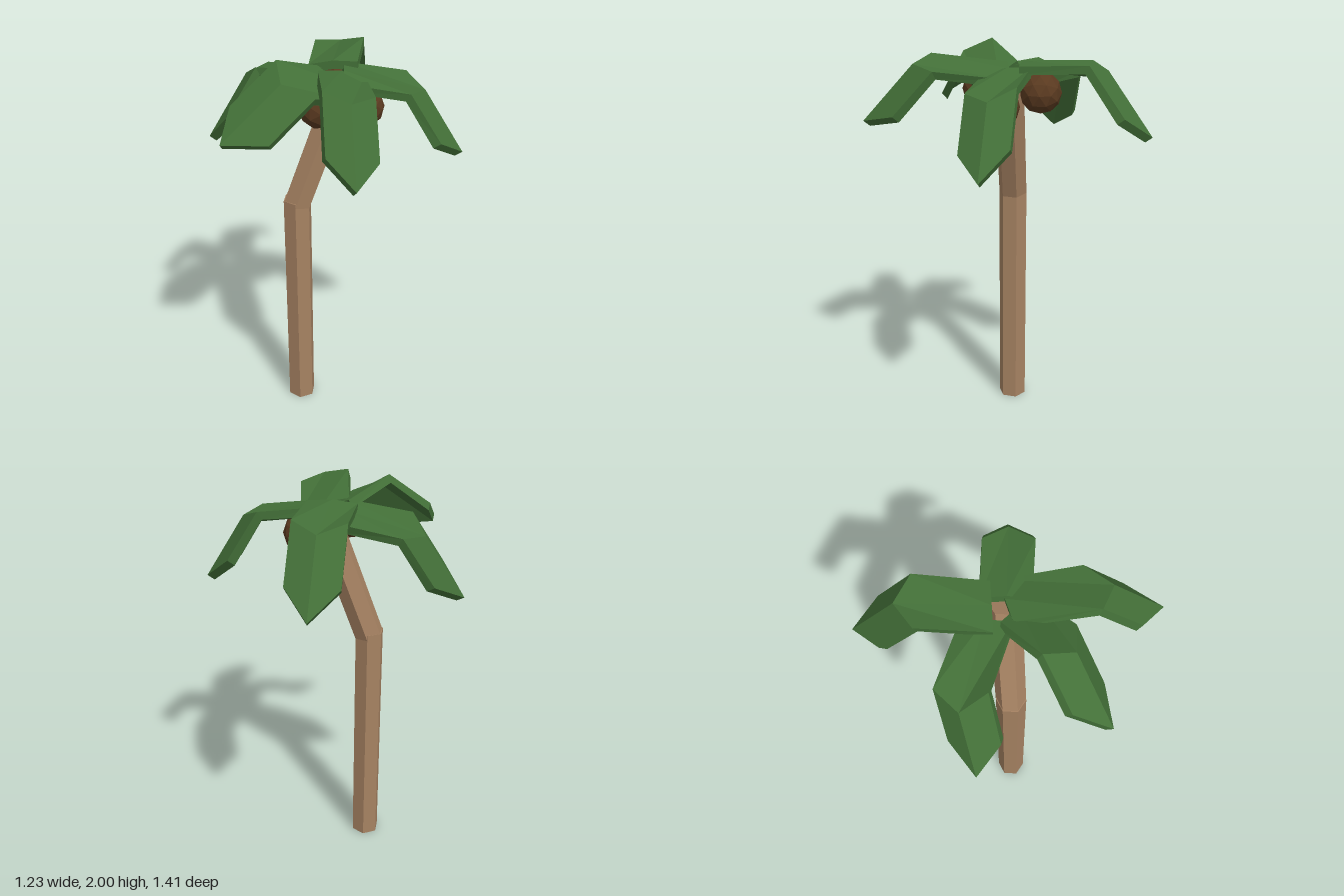
import * as THREE from 'three';

const mat = (name, color) => {
  const m = new THREE.MeshStandardMaterial({ color, flatShading: true });
  m.name = name;
  return m;
};
const V = (a) => new THREE.Vector3(...a);

// Thick bent leaf: flat inner plate, V-shaped crease at the knee, pointed gabled end.
// root: middle of inner end, knee: middle between knee edges, side: half width vector,
// crease: knee point on the midrib, drop: vector from knee edge to shoulder
function frondGeometry({ root, knee, side, crease, drop }) {
  const thickness = 0.042;
  const r = V(root), k = V(knee), m = V(crease), d = V(drop);
  let c = V(side);
  if (d.clone().cross(c).y < 0) c.negate();
  const nIn = k.clone().sub(r).cross(c).normalize();
  const nOut = d.clone().cross(c).normalize();
  const nKnee = nIn.clone().add(nOut).normalize();
  const at = (p, s, q) => p.clone().addScaledVector(c, s).add(q || V([0, 0, 0]));

  // outline anticlockwise from above (0-7), then the crease point (8)
  const top = [
    at(r, -0.95), at(k, -1), at(k, -1, d), m.clone().addScaledVector(d, 1.29),
    at(k, 1, d), at(k, 1), at(r, 0.95), at(r, 0).addScaledVector(nIn, 0.012), m,
  ];
  const normals = [nIn, nKnee, nOut, nOut, nOut, nKnee, nIn, nIn, nKnee];
  const bottom = top.map((p, i) => p.clone().addScaledVector(normals[i], -thickness));

  const faces = [[7, 0, 1], [7, 1, 8], [8, 1, 2], [8, 2, 3], [8, 3, 4], [8, 4, 5], [8, 5, 6], [8, 6, 7]];
  const pts = [];
  for (const [a, b, e] of faces) {
    pts.push(top[a], top[b], top[e]);
    pts.push(bottom[a], bottom[e], bottom[b]);
  }
  for (let i = 0; i < 8; i++) {
    const j = (i + 1) % 8;
    pts.push(bottom[i], bottom[j], top[j], bottom[i], top[j], top[i]);
  }
  const g = new THREE.BufferGeometry().setFromPoints(pts);
  g.computeVertexNormals();
  return g;
}

export function createModel() {
  const model = new THREE.Group();
  model.name = 'palmTree';
  const bark = mat('bark brown', 0xa68262);
  const green = mat('leaf green', 0x437038);
  const husk = mat('coconut brown', 0x5a3a20);

  const add = (name, geometry, material) => {
    const mesh = new THREE.Mesh(geometry, material);
    mesh.name = name;
    model.add(mesh);
    return mesh;
  };

  // Six-sided trunk: upright lower part and leaning upper part
  const trunkPart = (name, base, length, lean) => {
    const g = new THREE.CylinderGeometry(0.074, 0.074, length, 6, 1, false, THREE.MathUtils.degToRad(50));
    g.translate(0, length / 2, 0);
    const mesh = add(name, g, bark);
    mesh.position.set(...base);
    mesh.rotation.z = -lean;
  };
  trunkPart('lowerTrunk', [-0.19, 0, -0.02], 1.24, 0);
  trunkPart('upperTrunk', [-0.19, 1.215, -0.02], 0.67, Math.atan(0.36));

  // Coconuts
  [[-0.08, 1.78, 0.12], [0.13, 1.74, 0.02], [0.035, 1.79, -0.172]].forEach((p, i) => {
    add('coconut' + (i + 1), new THREE.IcosahedronGeometry(0.102, 1), husk).position.set(...p);
  });

  // Crown of five fronds
  const fronds = {
    frontFrond: {
      root: [0.03, 1.89, -0.02], knee: [0.033, 1.925, 0.352], side: [0.118, -0.025, -0.022],
      crease: [0.035, 1.915, 0.445], drop: [0, -0.22, 0.2],
    },
    leftFrond: {
      root: [0.04, 1.895, -0.015], knee: [0.34, 1.857, 0.033], side: [-0.005, -0.017, 0.118],
      crease: [0.42, 1.82, 0.04], drop: [0.151, -0.244, 0.015],
    },
    backFrond: {
      root: [-0.005, 1.92, -0.08], knee: [0.052, 1.937, -0.408], side: [0.122, 0.006, 0.007],
      crease: [0.065, 1.905, -0.49], drop: [0.031, -0.236, -0.17],
    },
    rightBackFrond: {
      root: [-0.05, 1.885, -0.11], knee: [-0.34, 1.865, -0.247], side: [-0.03, 0.025, 0.113],
      crease: [-0.42, 1.82, -0.265], drop: [-0.155, -0.244, 0.031],
    },
    rightFrontFrond: {
      root: [0, 1.86, 0.03], knee: [-0.19, 1.937, 0.18], side: [0.083, -0.063, 0.085],
      crease: [-0.257, 1.937, 0.24], drop: [-0.213, -0.172, 0.103],
    },
  };
  for (const [name, spec] of Object.entries(fronds)) add(name, frondGeometry(spec), green);

  return model;
}
